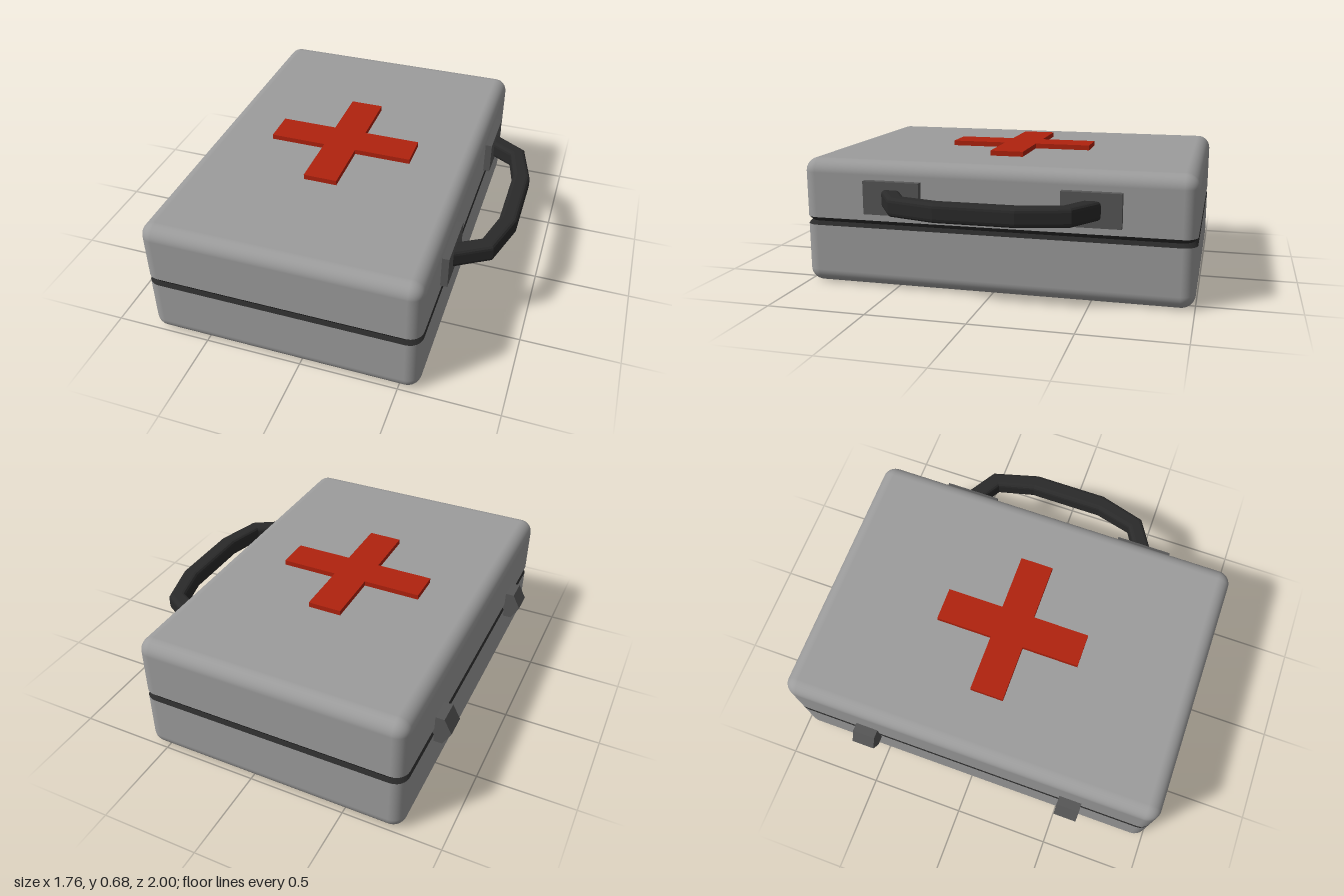
import * as THREE from 'three';
import { RoundedBoxGeometry } from 'three/addons/geometries/RoundedBoxGeometry.js';

const paint = (name, color) => {
  const m = new THREE.MeshStandardMaterial({ color });
  m.name = name;
  return m;
};

// Closed rounded rectangle as a counter-clockwise list of points centred on 0, 0
function roundedRect(w, h, r, steps) {
  const pts = [];
  [[1, 1], [-1, 1], [-1, -1], [1, -1]].forEach(([sx, sy], q) => {
    for (let i = 0; i <= steps; i++) {
      const a = (q + i / steps) * Math.PI / 2;
      pts.push([sx * (w / 2 - r) + r * Math.cos(a), sy * (h / 2 - r) + r * Math.sin(a)]);
    }
  });
  return pts;
}

// Flat-shaded skin through a list of rings with equal point counts
function loft(rings) {
  const n = rings[0].length, index = [];
  for (let j = 0; j < rings.length - 1; j++) {
    for (let i = 0; i < n; i++) {
      const a = j * n + i, b = j * n + (i + 1) % n;
      index.push(a, a + n, b, b, a + n, b + n);
    }
  }
  const g = new THREE.BufferGeometry();
  g.setAttribute('position', new THREE.Float32BufferAttribute(rings.flat(2), 3));
  g.setIndex(index);
  const flat = g.toNonIndexed();
  flat.computeVertexNormals();
  return flat;
}

// Half of a rounded box, cut flat at y = 0; dir is 1 for the upper half, -1 for the lower
function halfShell(height, dir) {
  const g = new RoundedBoxGeometry(1.4, height * 2, 2, 6, 0.07);
  const p = g.attributes.position;
  for (let i = 0; i < p.count; i++) if (p.getY(i) * dir < 0) p.setY(i, 0);
  return g;
}

function extrude(points, depth) {
  const shape = new THREE.Shape(points.map(([x, y]) => new THREE.Vector2(x, y)));
  return new THREE.ExtrudeGeometry(shape, { depth, bevelEnabled: false });
}

export function createModel() {
  const shell = paint('shellGrey', 0x9c9c9c);
  const fitting = paint('fittingGrey', 0x565656);
  const dark = paint('handleBlack', 0x2a2a2a);
  const red = paint('crossRed', 0xb0220e);

  const model = new THREE.Group();
  model.name = 'firstAidCase';
  const add = (name, geometry, material, x = 0, y = 0, z = 0) => {
    const mesh = new THREE.Mesh(geometry, material);
    mesh.name = name;
    mesh.position.set(x, y, z);
    model.add(mesh);
    return mesh;
  };

  // Two halves of the case
  add('lid', halfShell(0.305, 1), shell, -0.1, 0.35, 0);
  add('base', halfShell(0.31, -1), shell, -0.1, 0.31, 0);

  // V-shaped seam between them
  const seam = [[0.31, 0], [0.33, 0.014], [0.35, 0]].map(([y, inset]) =>
    roundedRect(1.4 - 2 * inset, 2 - 2 * inset, 0.07, 6).map(([x, z]) => [x, y, -z]));
  add('seam', loft(seam.map((ring) => ring.reverse()).reverse()), dark, -0.1, 0, 0);
  // The seam is shallow, so both faces are drawn to keep it closed
  dark.side = THREE.DoubleSide;

  // Raised cross on the lid
  const a = 0.087, l = 0.383;
  const cross = extrude([[a, a], [a, l], [-a, l], [-a, a], [-l, a], [-l, -a],
    [-a, -a], [-a, -l], [a, -l], [a, -a], [l, -a], [l, a]], 0.03);
  cross.rotateX(-Math.PI / 2);
  add('cross', cross, red, -0.104, 0.651, 0);

  // Latches on one side, handle mounts on the other
  const latch = extrude([[-0.79, 0.27], [-0.79, 0.42], [-0.845, 0.42],
    [-0.885, 0.345], [-0.845, 0.27]], 0.12);
  latch.translate(0, 0, -0.06);
  for (const side of [1, -1]) {
    add('latch', latch, fitting, 0, 0, side * 0.565);
    add('handleMount', new THREE.BoxGeometry(0.045, 0.17, 0.295), fitting, 0.6125, 0.475, side * 0.503);
  }

  // Handle: inner and outer corners [x, z] for each bend, mirrored in z
  const half = [
    [[0.625, 0.455], [0.625, 0.557]],
    [[0.738, 0.388], [0.808, 0.445]],
    [[0.787, 0.196], [0.878, 0.196]],
  ];
  const flip = ([x, z]) => [x, -z];
  const stations = [...half, ...half.slice().reverse().map((s) => s.map(flip))];
  const section = roundedRect(1, 0.095, 0.022, 3);
  const rings = stations.map(([inner, outer]) => section.map(([u, v]) => {
    // Keep corners round although the section is squeezed into unit width
    const width = Math.hypot(outer[0] - inner[0], outer[1] - inner[1]);
    const edge = 0.5 - Math.abs(u);
    const t = edge < 0.022 + 1e-6 ? edge / width : 0.5;
    const k = u > 0 ? 1 - t : t;
    return [inner[0] + (outer[0] - inner[0]) * k, 0.473 + v, inner[1] + (outer[1] - inner[1]) * k];
  }));
  add('handle', loft(rings.reverse()), dark);

  return model;
}
